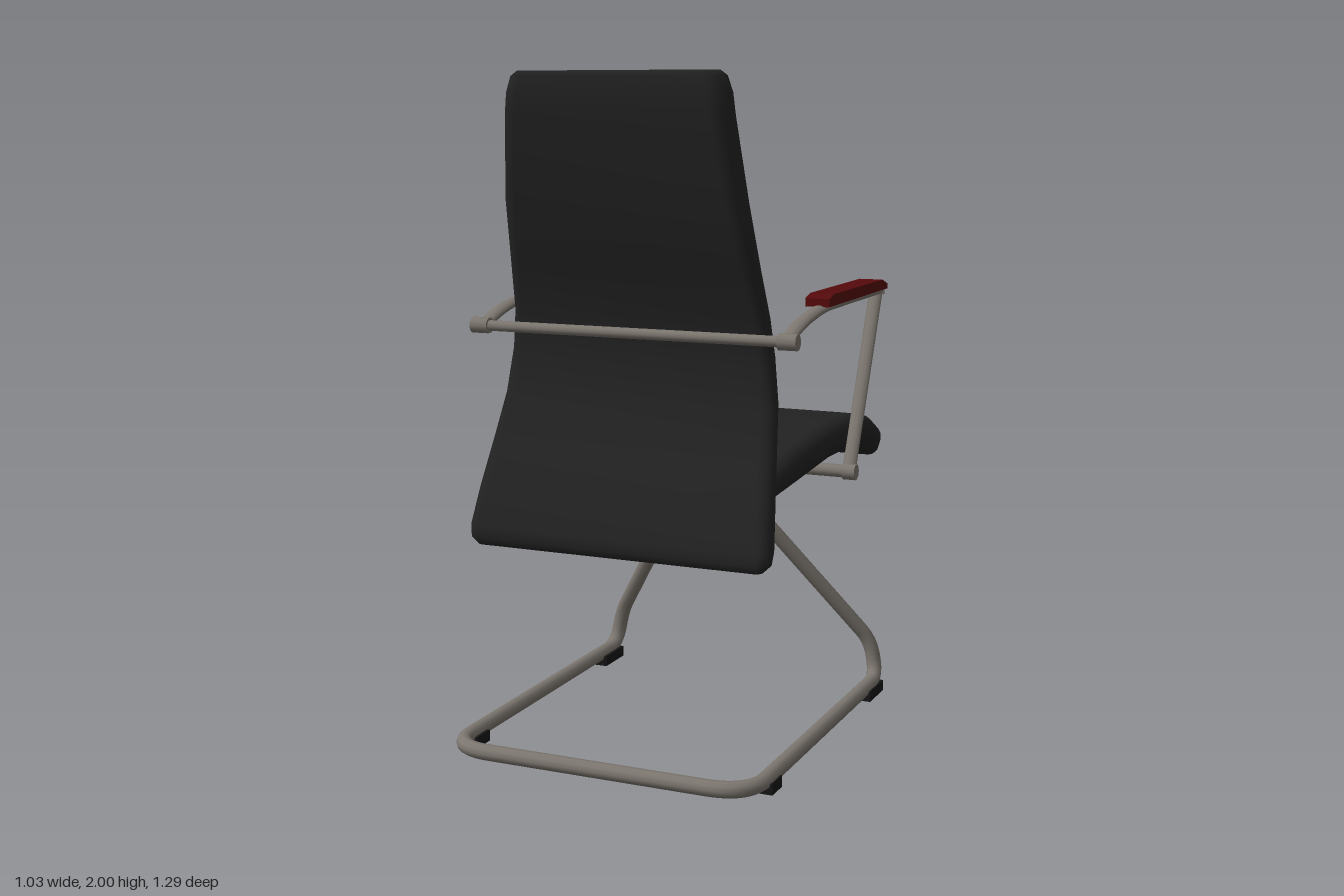
import * as THREE from 'three';

const mat = (name, color) => {
  const m = new THREE.MeshStandardMaterial({ color });
  m.name = name;
  return m;
};
const V = (x, y, z) => new THREE.Vector3(x, y, z);

// Cushion lofted through stations [faceZ, faceY, backZ, backY, halfWidth], each a rounded rectangle
function cushion(stations) {
  const pos = [], idx = [], per = 5, ring = per * 4;
  for (const [fz, fy, bz, by, w] of stations) {
    const r = Math.hypot(bz - fz, by - fy) * 0.45;
    for (let q = 0; q < 4; q++) for (let k = 0; k < per; k++) {
      const a = (q + k / (per - 1)) * Math.PI / 2;
      const sx = q === 0 || q === 3 ? 1 : -1, st = q < 2 ? 1 : -1;
      const t = 0.5 + st * 0.05 + Math.sin(a) * 0.45;
      pos.push(sx * (w - r) + r * Math.cos(a), fy + (by - fy) * t, fz + (bz - fz) * t);
    }
  }
  const n = stations.length;
  for (let s = 0; s < n - 1; s++) for (let j = 0; j < ring; j++) {
    const a = s * ring + j, b = s * ring + (j + 1) % ring;
    idx.push(a, b, a + ring, b, b + ring, a + ring);
  }
  // end caps
  for (const s of [0, n - 1]) {
    const [fz, fy, bz, by] = stations[s], c = pos.length / 3;
    pos.push(0, (fy + by) / 2, (fz + bz) / 2);
    for (let j = 0; j < ring; j++) {
      const a = s * ring + j, b = s * ring + (j + 1) % ring;
      if (s === 0) idx.push(c, b, a); else idx.push(c, a, b);
    }
  }
  const g = new THREE.BufferGeometry();
  g.setAttribute('position', new THREE.Float32BufferAttribute(pos, 3));
  g.setIndex(idx);
  g.computeVertexNormals();
  return g;
}

// Straight runs joined by rounded bends; corners are [point, bendLength]
function bentPath(start, corners, end) {
  const path = new THREE.CurvePath();
  let at = start;
  corners.forEach(([p, r], i) => {
    const next = i < corners.length - 1 ? corners[i + 1][0] : end;
    const a = p.clone().add(at.clone().sub(p).setLength(r));
    const b = p.clone().add(next.clone().sub(p).setLength(r));
    path.add(new THREE.LineCurve3(at, a));
    path.add(new THREE.QuadraticBezierCurve3(a, p, b));
    at = b;
  });
  path.add(new THREE.LineCurve3(at, end));
  return path;
}

export function createModel() {
  const root = new THREE.Group();
  const black = mat('black upholstery', 0x222222);
  const metal = mat('brushed metal', 0x7c766f);
  const red = mat('dark red', 0x560a0c);
  const rubber = mat('black rubber', 0x151515);
  const add = (name, geo, material, x = 0, y = 0, z = 0) => {
    const m = new THREE.Mesh(geo, material);
    m.name = name;
    m.position.set(x, y, z);
    root.add(m);
    return m;
  };
  const crossTube = (r, len) => new THREE.CylinderGeometry(r, r, len, 10).rotateZ(Math.PI / 2);

  // Backrest, top to bottom
  add('backrest', cushion([
    [0.40, 2.0, 0.497, 2.0, 0.305],
    [0.393, 1.985, 0.504, 1.985, 0.325],
    [0.39, 1.94, 0.504, 1.94, 0.34],
    [0.387, 1.875, 0.50, 1.88, 0.347],
    [0.35, 1.637, 0.456, 1.637, 0.372],
    [0.305, 1.45, 0.393, 1.45, 0.388],
    [0.27, 1.318, 0.343, 1.30, 0.401],
    [0.26, 1.21, 0.334, 1.186, 0.413],
    [0.276, 1.08, 0.35, 1.053, 0.43],
    [0.324, 0.947, 0.405, 0.92, 0.446],
    [0.376, 0.80, 0.463, 0.79, 0.463],
    [0.42, 0.68, 0.499, 0.68, 0.476],
    [0.433, 0.643, 0.50, 0.645, 0.472],
    [0.445, 0.623, 0.49, 0.623, 0.45],
  ]), black);

  // Seat, rear to front
  add('seat', cushion([
    [0.327, 0.835, 0.325, 0.805, 0.35],
    [0.318, 0.858, 0.312, 0.785, 0.39],
    [0.29, 0.874, 0.285, 0.777, 0.415],
    [0.085, 0.915, 0.085, 0.798, 0.43],
    [-0.18, 0.936, -0.18, 0.822, 0.435],
    [-0.393, 0.936, -0.39, 0.825, 0.442],
    [-0.525, 0.91, -0.495, 0.811, 0.45],
    [-0.605, 0.865, -0.565, 0.778, 0.452],
    [-0.638, 0.832, -0.61, 0.762, 0.435],
    [-0.648, 0.80, -0.637, 0.765, 0.36],
  ]), black);

  // Continuous sled base with legs meeting under the seat
  const half = [[V(0.475, 0.036, 0.621), 0.13], [V(0.475, 0.036, -0.515), 0.07],
    [V(0.452, 0.16, -0.515), 0.05]];
  const mirrored = half.map(([p, r]) => [V(-p.x, p.y, p.z), r]).reverse();
  const rear = V(0, 0.036, 0.621);
  const loop = bentPath(rear, [...half, [V(0, 0.82, -0.165), 0.09], ...mirrored], rear.clone());
  add('sledBase', new THREE.TubeGeometry(loop, 220, 0.024, 10, true), metal);

  // Bars joining the arms behind the backrest and under the seat
  add('rearCrossbar', crossTube(0.016, 0.98), metal, 0, 1.26, 0.375);
  add('seatCrossbar', crossTube(0.02, 0.96), metal, 0, 0.79, -0.19);

  // Arm rail and post are flattened tubes
  const railPath = new THREE.CatmullRomCurve3([V(0, 1.262, 0.375), V(0, 1.293, 0.28),
    V(0, 1.312, 0.18), V(0, 1.323, 0.08), V(0, 1.326, -0.1), V(0, 1.327, -0.44)]);
  const railGeo = new THREE.TubeGeometry(railPath, 28, 0.014, 10).scale(1.65, 1, 1);
  const postPath = new THREE.LineCurve3(V(0, 1.322, -0.428), V(0, 0.79, -0.187));
  const postGeo = new THREE.TubeGeometry(postPath, 1, 0.014, 10).scale(1.55, 1, 1);
  const capGeo = new THREE.BoxGeometry(0.046, 0.026, 0.014);

  // Arm pad side profile, drawn as (-z, y)
  const padShape = new THREE.Shape([[-0.11, 1.33], [0.445, 1.333], [0.445, 1.348], [0.39, 1.365],
    [-0.07, 1.365], [-0.11, 1.354]].map(([a, b]) => new THREE.Vector2(a, b)));
  const padGeo = new THREE.ExtrudeGeometry(padShape, { depth: 0.074, bevelEnabled: false })
    .translate(0, 0, -0.037).rotateY(Math.PI / 2);

  for (const [side, s] of [['left', 1], ['right', -1]]) {
    add(side + 'ArmRail', railGeo, metal, s * 0.478);
    add(side + 'ArmPost', postGeo, metal, s * 0.478);
    add(side + 'RailEnd', capGeo, metal, s * 0.478, 1.327, -0.44);
    add(side + 'ArmPad', padGeo, red, s * 0.474);
    add(side + 'RearKnob', crossTube(0.024, 0.056), metal, s * 0.485, 1.26, 0.375);
    add(side + 'SeatKnob', crossTube(0.025, 0.04), metal, s * 0.482, 0.79, -0.187);
    // Floor glides
    add(side + 'FrontGlide', new THREE.BoxGeometry(0.06, 0.034, 0.135), rubber, s * 0.473, 0.017, -0.432);
    add(side + 'RearGlide', new THREE.BoxGeometry(0.06, 0.034, 0.075), rubber, s * 0.473, 0.017, 0.48);
  }
  return root;
}
